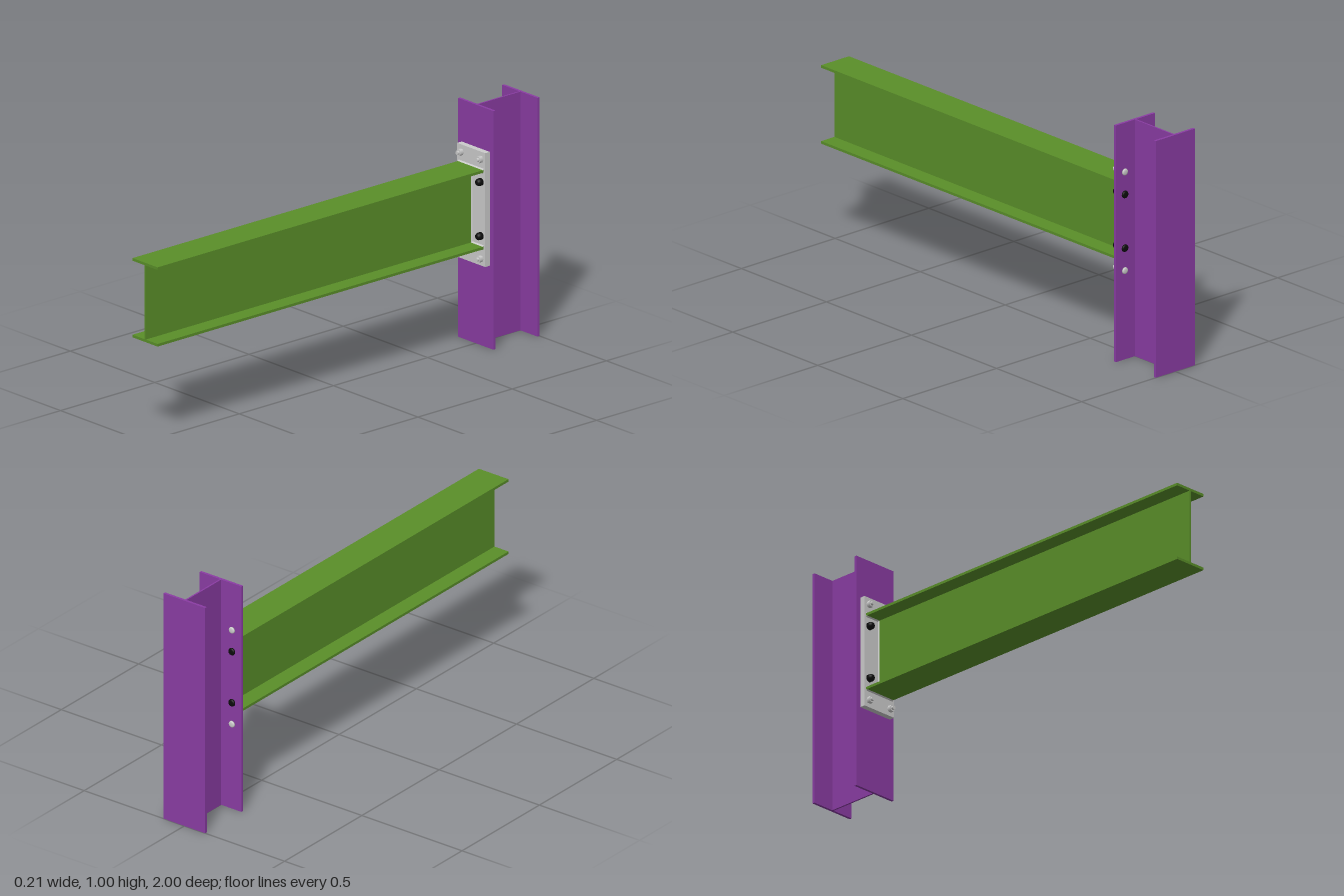
import * as THREE from 'three';

const steel = new THREE.MeshStandardMaterial({ color: 0xcccccc });
const purple = new THREE.MeshStandardMaterial({ color: 0x8a3ca3 });
const green = new THREE.MeshStandardMaterial({ color: 0x5a8f29 });
const black = new THREE.MeshStandardMaterial({ color: 0x0c0c0c });

const COLUMN_FACE = -0.755, FLANGE = 0.011, PLATE_FACE = -0.731;
const BEAM = { width: 0.148, height: 0.332, flange: 0.011, web: 0.008, y: 0.585 };

function mesh(name, geometry, material, parent) {
  const m = new THREE.Mesh(geometry, material);
  m.name = name;
  parent.add(m);
  return m;
}

// I-section centred on the origin, extruded along +z
function iBeam(width, height, flange, web, length) {
  const w = width / 2, h = height / 2, t = web / 2, f = h - flange;
  const right = [[w, -h], [w, -f], [t, -f], [t, f], [w, f], [w, h]];
  const left = right.map(([x, y]) => [-x, y]).reverse();
  const shape = new THREE.Shape([...right, ...left].map(([x, y]) => new THREE.Vector2(x, y)));
  return new THREE.ExtrudeGeometry(shape, { depth: length, bevelEnabled: false });
}

// Triangular fillet weld on the plate; (nx, ny) points away from the welded steel
function weld(x, y, nx, ny, length, parent) {
  const leg = 0.005;
  const shape = new THREE.Shape([
    new THREE.Vector2(0, 0), new THREE.Vector2(leg, 0), new THREE.Vector2(0, leg)]);
  const g = new THREE.ExtrudeGeometry(shape, { depth: length, bevelEnabled: false });
  g.translate(0, 0, -length / 2);
  const n = new THREE.Vector3(nx, ny, 0), z = new THREE.Vector3(0, 0, 1);
  const along = new THREE.Vector3().crossVectors(n, z);
  g.applyMatrix4(new THREE.Matrix4().makeBasis(n, z, along).setPosition(x, y, PLATE_FACE));
  mesh('weld', g, steel, parent);
}

// Cylinder along z between two depths
function rod(radius, z0, z1, sides) {
  return new THREE.CylinderGeometry(radius, radius, z1 - z0, sides)
    .rotateX(Math.PI / 2).translate(0, 0, (z0 + z1) / 2);
}

// Rounded button head rising from z = 0 towards +z
function buttonHead(radius, height) {
  const profile = [[0.0001, 0], [1, 0], [1, 0.45], [0.92, 0.7], [0.72, 0.9], [0.4, 1], [0.0001, 1]]
    .map(([r, h]) => new THREE.Vector2(r * radius, h * height));
  return new THREE.LatheGeometry(profile, 24).rotateX(Math.PI / 2);
}

// Hexagon nut in front, button head behind the column flange
function hexBolt(parent) {
  const back = COLUMN_FACE - FLANGE;
  const nut = rod(0.0145, PLATE_FACE, -0.715, 6);
  nut.rotateZ(Math.PI / 6);
  mesh('nut', nut, steel, parent);
  mesh('shank', rod(0.008, back, -0.706, 20), steel, parent);
  mesh('boltHead', buttonHead(0.014, 0.008).rotateY(Math.PI).translate(0, 0, back), steel, parent);
}

// Dark bolt with rounded heads on both sides
function roundBolt(parent) {
  const back = COLUMN_FACE - FLANGE;
  mesh('shank', rod(0.008, back, PLATE_FACE, 20), black, parent);
  mesh('frontHead', buttonHead(0.0155, 0.024).translate(0, 0, PLATE_FACE), black, parent);
  mesh('boltHead', buttonHead(0.0155, 0.009).rotateY(Math.PI).translate(0, 0, back), black, parent);
}

export function createModel() {
  const model = new THREE.Group();
  model.name = 'beamToColumnConnection';

  // Upright column: its flanges face front and back
  const depth = 1 + COLUMN_FACE;
  const columnGeometry = iBeam(0.208, depth, FLANGE, 0.007, 1).rotateX(-Math.PI / 2);
  mesh('column', columnGeometry, purple, model).position.z = COLUMN_FACE - depth / 2;

  // End plate
  const thickness = PLATE_FACE - COLUMN_FACE;
  mesh('endPlate', new THREE.BoxGeometry(0.166, 0.477, thickness), steel, model)
    .position.set(0, 0.585, COLUMN_FACE + thickness / 2);

  // Horizontal beam
  const beamGeometry = iBeam(BEAM.width, BEAM.height, BEAM.flange, BEAM.web, 1 - PLATE_FACE);
  mesh('beam', beamGeometry, green, model).position.set(0, BEAM.y, PLATE_FACE);

  // Welds around the beam end
  const welds = new THREE.Group();
  welds.name = 'welds';
  model.add(welds);
  const outer = BEAM.height / 2, inner = outer - BEAM.flange;
  for (const s of [-1, 1]) {
    weld(0, BEAM.y + s * outer, 0, s, BEAM.width, welds);
    weld(s * BEAM.web / 2, BEAM.y, s, 0, inner * 2, welds);
    const halfFlange = (BEAM.width - BEAM.web) / 2;
    for (const side of [-1, 1]) {
      weld(side * (BEAM.web + halfFlange) / 2, BEAM.y + s * inner, 0, -s, halfFlange, welds);
    }
  }

  // Bolts: hexagonal outside the flanges, dark round ones between them
  const rows = [[0.793, hexBolt], [0.698, roundBolt], [0.471, roundBolt], [0.376, hexBolt]];
  for (const [y, build] of rows) {
    for (const x of [-0.058, 0.058]) {
      const bolt = new THREE.Group();
      bolt.name = 'bolt';
      bolt.position.set(x, y, 0);
      build(bolt);
      model.add(bolt);
    }
  }
  return model;
}
